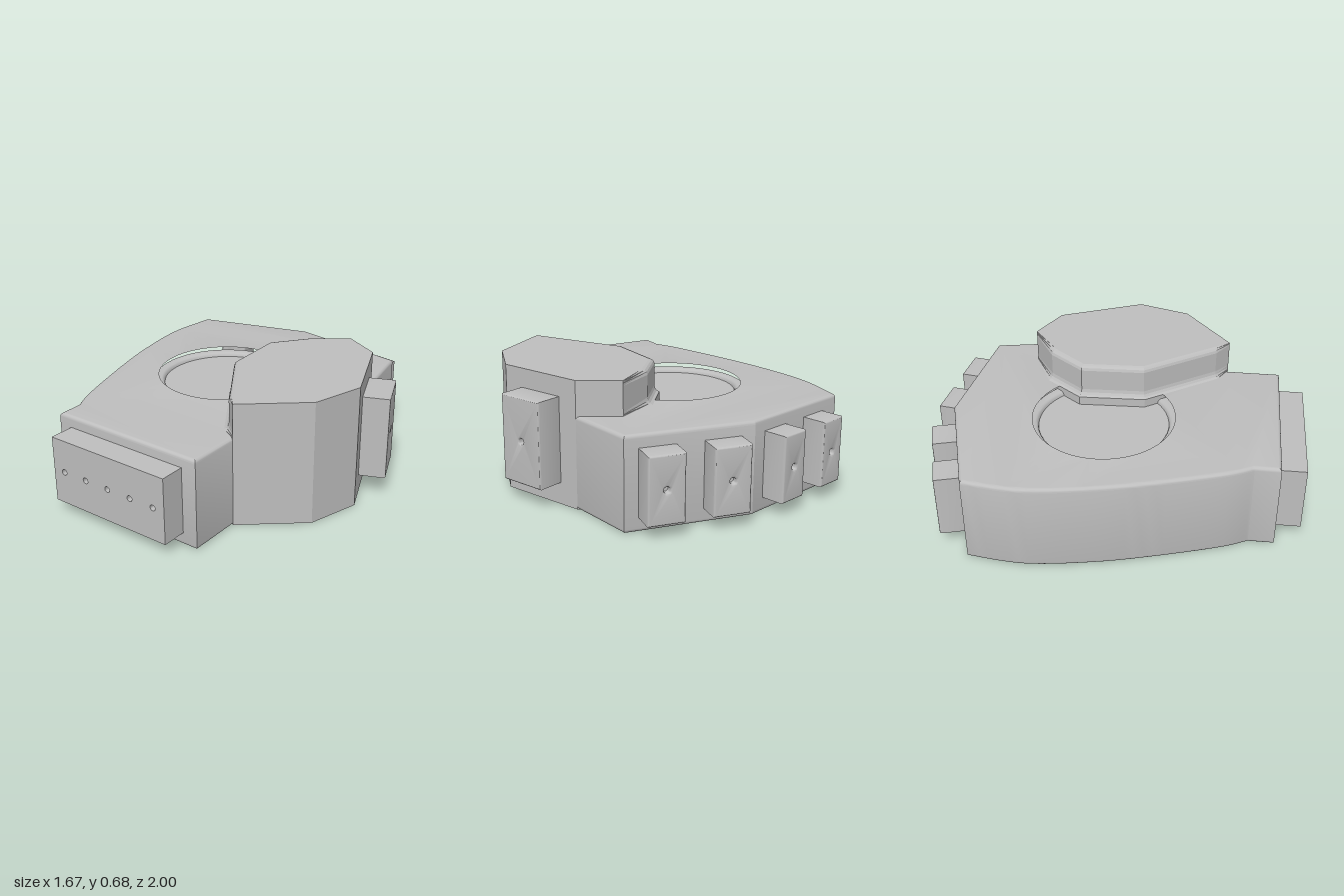
import * as THREE from 'three';
import { toCreasedNormals } from 'three/addons/utils/BufferGeometryUtils.js';

const grey = new THREE.MeshStandardMaterial({ color: 0xbebebe });
grey.name = 'plain grey';

function part(name, geometry) {
  const mesh = new THREE.Mesh(geometry, grey);
  mesh.name = name;
  return mesh;
}

function circleHole(x, y, r) {
  const path = new THREE.Path();
  path.absarc(x, y, r, 0, Math.PI * 2, true);
  return path;
}

// Block whose outer face is centred on (x, z) and points along (nx, nz), with shallow pin holes
function socketBlock(name, { x, z, nx, nz, w, y0, y1, depth, bevel, holes }) {
  const h = y1 - y0;
  const r = 0.016;
  const shape = new THREE.Shape();
  shape.moveTo(-w / 2, -h / 2);
  shape.lineTo(w / 2, -h / 2);
  shape.lineTo(w / 2, h / 2);
  shape.lineTo(-w / 2, h / 2);
  shape.closePath();
  holes.forEach((hx) => shape.holes.push(circleHole(hx, 0, r)));
  const geo = new THREE.ExtrudeGeometry(shape, {
    depth: depth - 2 * bevel, bevelEnabled: bevel > 0, bevelSize: bevel, bevelThickness: bevel,
    bevelOffset: -bevel, bevelSegments: 3, curveSegments: 12,
  });
  geo.translate(0, 0, bevel - depth);
  const group = new THREE.Group();
  group.name = name;
  group.add(part('block', toCreasedNormals(geo, 0.6)));
  holes.forEach((hx) => {
    const floor = part('holeFloor', new THREE.CircleGeometry(r * 1.1, 16));
    floor.position.set(hx, 0, -0.035);
    group.add(floor);
  });
  group.position.set(x, (y0 + y1) / 2, z);
  group.rotation.y = Math.atan2(nx, nz);
  return group;
}

// Palm slab with a curved outer side and a round opening for the dish
const dish = { x: -0.175, z: -0.07, r: 0.4 };
const edge = 0.02;
const palmTop = 0.493;

function palmGeometry() {
  const side = new THREE.SplineCurve([
    [-0.54, 0.73], [-0.605, 0.59], [-0.71, 0.26], [-0.79, -0.05], [-0.84, -0.4], [-0.81, -0.7],
  ].map(([x, z]) => new THREE.Vector2(x, -z))).getPoints(32);
  const corners = [[-0.175, -0.885], [0.49, -0.785], [0.56, -0.41], [0.35, 0.575], [0.35, 0.865], [-0.54, 0.865]]
    .map(([x, z]) => new THREE.Vector2(x, -z));
  const shape = new THREE.Shape([...side, ...corners]);
  shape.holes.push(circleHole(dish.x, -dish.z, dish.r));
  const geo = new THREE.ExtrudeGeometry(shape, {
    depth: palmTop - 2 * edge, bevelSize: edge, bevelThickness: edge, bevelOffset: -edge,
    bevelSegments: 5, curveSegments: 48,
  });
  geo.translate(0, 0, edge);
  geo.rotateX(-Math.PI / 2);
  return toCreasedNormals(geo, 0.36);
}

// Two-step dish that also closes the underside
function dishGeometry() {
  const profile = [
    [0, 0], [dish.r + edge, 0], [dish.r, edge], [dish.r, 0.468], [0.365, 0.468],
    [0.357, 0.464], [0.351, 0.456], [0.348, 0.445], [0, 0.445],
  ].map(([r, y]) => new THREE.Vector2(r, y));
  const geo = new THREE.LatheGeometry(profile, 64);
  geo.translate(dish.x, 0, dish.z);
  return toCreasedNormals(geo, 0.5);
}

// Thumb mound: the inner corners carry an outward direction, so only they get a fillet and a rounded top
function moundGeometry() {
  const outline = [
    [0.355, -0.52, 0, 0], [0.56, -0.41, 0, 0], [0.745, 0.04, 0, 0], [0.66, 0.32, 0, 0], [0.35, 0.575, 0, 0],
    [0.275, 0.505, -0.8, 0.5], [0.025, 0.125, -1, 0.3], [0.012, -0.215, -1, -0.4], [0.155, -0.4, -0.8, -0.8],
  ];
  const rings = [
    [0, 0.025], [palmTop, 0.025], [0.5, 0.012], [0.512, 0.004], [0.53, 0],
    [0.648, 0], [0.662, -0.005], [0.671, -0.014], [0.675, -0.027],
  ];
  const n = outline.length;
  const pos = [];
  const index = [];
  rings.forEach(([y, t]) => outline.forEach(([x, z, dx, dz]) => pos.push(x + t * dx, y, z + t * dz)));
  const bottom = rings.length * n;
  pos.push(0.36, 0, 0, 0.36, 0.675, 0);
  for (let i = 0; i < n; i++) {
    const j = (i + 1) % n;
    for (let k = 0; k < rings.length - 1; k++) {
      const lo = k * n;
      const hi = lo + n;
      index.push(lo + j, lo + i, hi + i, lo + j, hi + i, hi + j);
    }
    const last = bottom - n;
    index.push(bottom, i, j, bottom + 1, last + j, last + i);
  }
  const geo = new THREE.BufferGeometry();
  geo.setAttribute('position', new THREE.Float32BufferAttribute(pos, 3));
  geo.setIndex(index);
  const flat = geo.toNonIndexed();
  flat.computeVertexNormals();
  return flat;
}

export function createModel() {
  const model = new THREE.Group();
  model.name = 'palm';
  model.add(part('palmBody', palmGeometry()));
  model.add(part('palmDish', dishGeometry()));
  model.add(part('thumbMound', moundGeometry()));

  // Finger sockets along the two back edges
  const fingers = [
    ['littleFingerSocket', -0.66, -0.88, -0.273, -0.962, 0.157],
    ['ringFingerSocket', -0.36, -0.966, -0.273, -0.962, 0.163],
    ['middleFingerSocket', 0.01, -0.985, 0.149, -0.989, 0.193],
    ['indexFingerSocket', 0.343, -0.938, 0.149, -0.989, 0.19],
  ];
  fingers.forEach(([name, x, z, nx, nz, w]) => model.add(socketBlock(name, {
    x, z, nx, nz, w, y0: 0.075, y1: 0.425, depth: 0.17, bevel: 0.01, holes: [0],
  })));

  // Thumb socket on the mound
  model.add(socketBlock('thumbSocket', {
    x: 0.785, z: -0.24, nx: 0.928, nz: -0.371, w: 0.26, y0: 0.118, y1: 0.573, depth: 0.18, bevel: 0.008, holes: [0],
  }));

  // Wrist plug with a row of holes
  model.add(socketBlock('wristPlug', {
    x: -0.1, z: 1, nx: 0, nz: 1, w: 0.73, y0: 0.07, y1: 0.43, depth: 0.16, bevel: 0,
    holes: [-2, -1, 0, 1, 2].map((i) => i * 0.147),
  }));
  return model;
}
